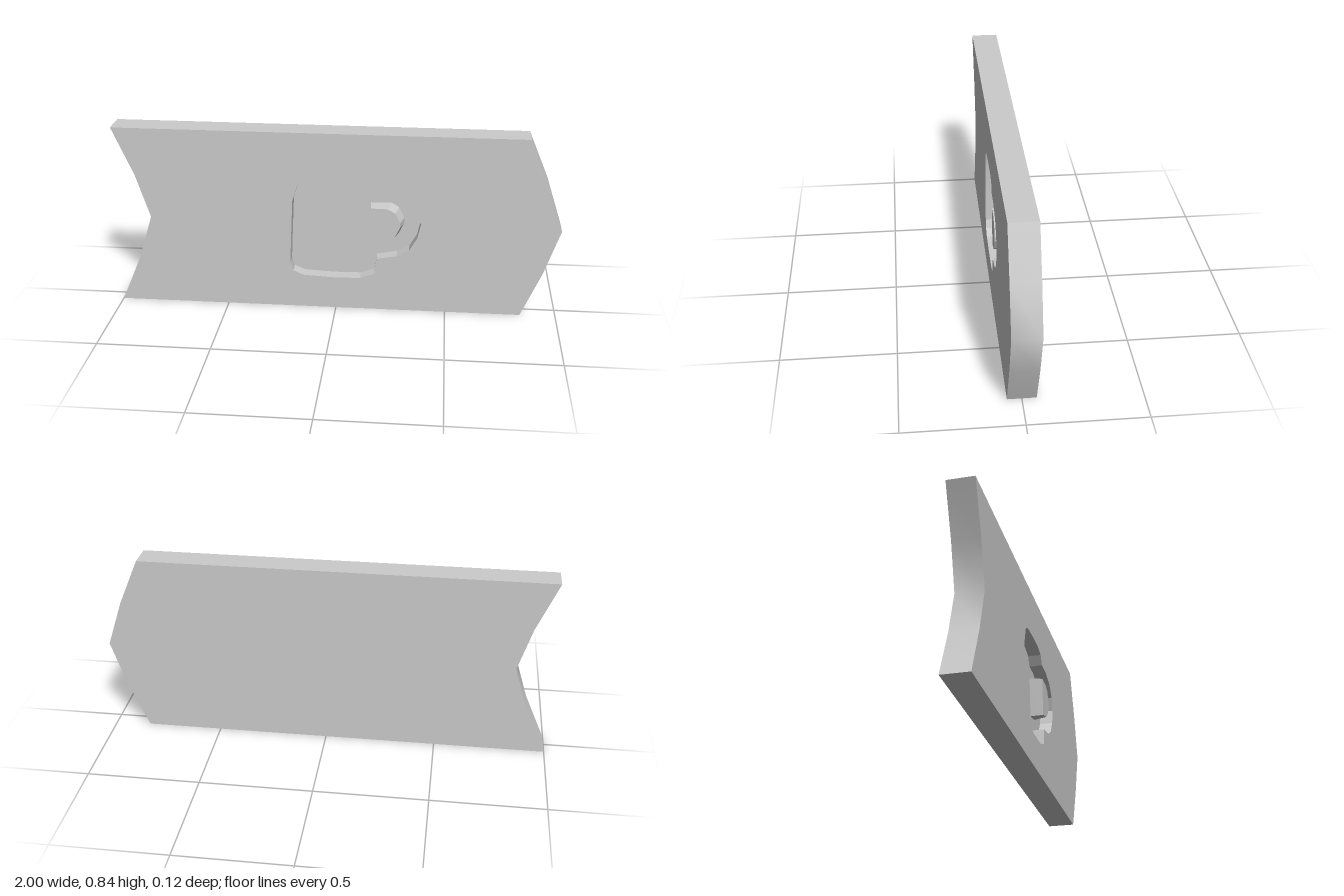
import * as THREE from 'three';
import { mergeGeometries, toCreasedNormals } from 'three/addons/utils/BufferGeometryUtils.js';

const FRONT = 0.061, BACK = -0.061, FLOOR = 0.001;

const points = (list) => list.map(([x, y]) => new THREE.Vector2(x, y));

// Plate outline, counter-clockwise: notched on one end, pointed on the other
const plate = points([
  [-1, 0.84], [-0.905, 0.62], [-0.843, 0.42], [-0.905, 0.22], [-1, 0],
  [0.84, 0], [0.93, 0.21], [1, 0.42], [0.93, 0.63], [0.84, 0.84],
]);

// Mug silhouette with handle, clockwise
const mug = points([
  [-0.17, 0.6], [-0.13, 0.617], [-0.02, 0.624], [0.07, 0.622], [0.125, 0.607], [0.15, 0.565],
  [0.225, 0.565], [0.31, 0.54], [0.36, 0.49], [0.38, 0.43], [0.365, 0.36],
  [0.33, 0.3], [0.275, 0.27], [0.185, 0.254], [0.175, 0.178], [0.11, 0.154],
  [-0.01, 0.152], [-0.15, 0.159], [-0.195, 0.18], [-0.208, 0.22], [-0.205, 0.3], [-0.195, 0.52],
]);

// Handle opening, clockwise: foot on the recess floor and face at the front
const openingFoot = points([
  [0.153, 0.504], [0.248, 0.505], [0.28, 0.484], [0.304, 0.436], [0.304, 0.408],
  [0.28, 0.358], [0.25, 0.334], [0.167, 0.318],
]);
const openingFace = points([
  [0.156, 0.498], [0.23, 0.497], [0.265, 0.478], [0.288, 0.432], [0.288, 0.41],
  [0.265, 0.362], [0.236, 0.338], [0.168, 0.32],
]);

// Wall between two matching loops; a counter-clockwise loop faces outward
function wall(loopA, zA, loopB, zB, crease) {
  const pos = [];
  loopA.forEach((a, i) => {
    const j = (i + 1) % loopA.length;
    const b = loopA[j], c = loopB[j], d = loopB[i];
    pos.push(a.x, a.y, zA, b.x, b.y, zA, c.x, c.y, zB);
    pos.push(a.x, a.y, zA, c.x, c.y, zB, d.x, d.y, zB);
  });
  const geo = new THREE.BufferGeometry();
  geo.setAttribute('position', new THREE.Float32BufferAttribute(pos, 3));
  geo.computeVertexNormals();
  return toCreasedNormals(geo, crease);
}

// Flat face looking towards +z, with an optional hole
function face(loop, z, hole) {
  const shape = new THREE.Shape(loop);
  if (hole) shape.holes.push(new THREE.Path(hole));
  const geo = new THREE.ShapeGeometry(shape).toNonIndexed();
  geo.deleteAttribute('uv');
  return geo.translate(0, 0, z);
}

export function createModel() {
  const group = new THREE.Group();
  group.name = 'mugSign';
  const material = new THREE.MeshStandardMaterial({ color: 0xcccccc });
  const add = (name, parts) => {
    const mesh = new THREE.Mesh(mergeGeometries(parts), material);
    mesh.name = name;
    group.add(mesh);
  };

  // Back face is the mirrored outline turned around the vertical axis
  const mirrored = plate.map((p) => new THREE.Vector2(-p.x, p.y));
  add('plate', [
    face(plate, FRONT, mug),
    face(mirrored, -BACK).rotateY(Math.PI),
    wall(plate, BACK, plate, FRONT, 0.7),
  ]);

  // Sunken mug
  add('mugRecess', [
    face(mug, FLOOR, openingFoot),
    wall(mug, FLOOR, mug, FRONT, 0.3),
  ]);

  // Raised island inside the handle
  add('handleOpening', [
    face(openingFace, FRONT),
    wall([...openingFoot].reverse(), FLOOR, [...openingFace].reverse(), FRONT, 0.3),
  ]);

  return group;
}
